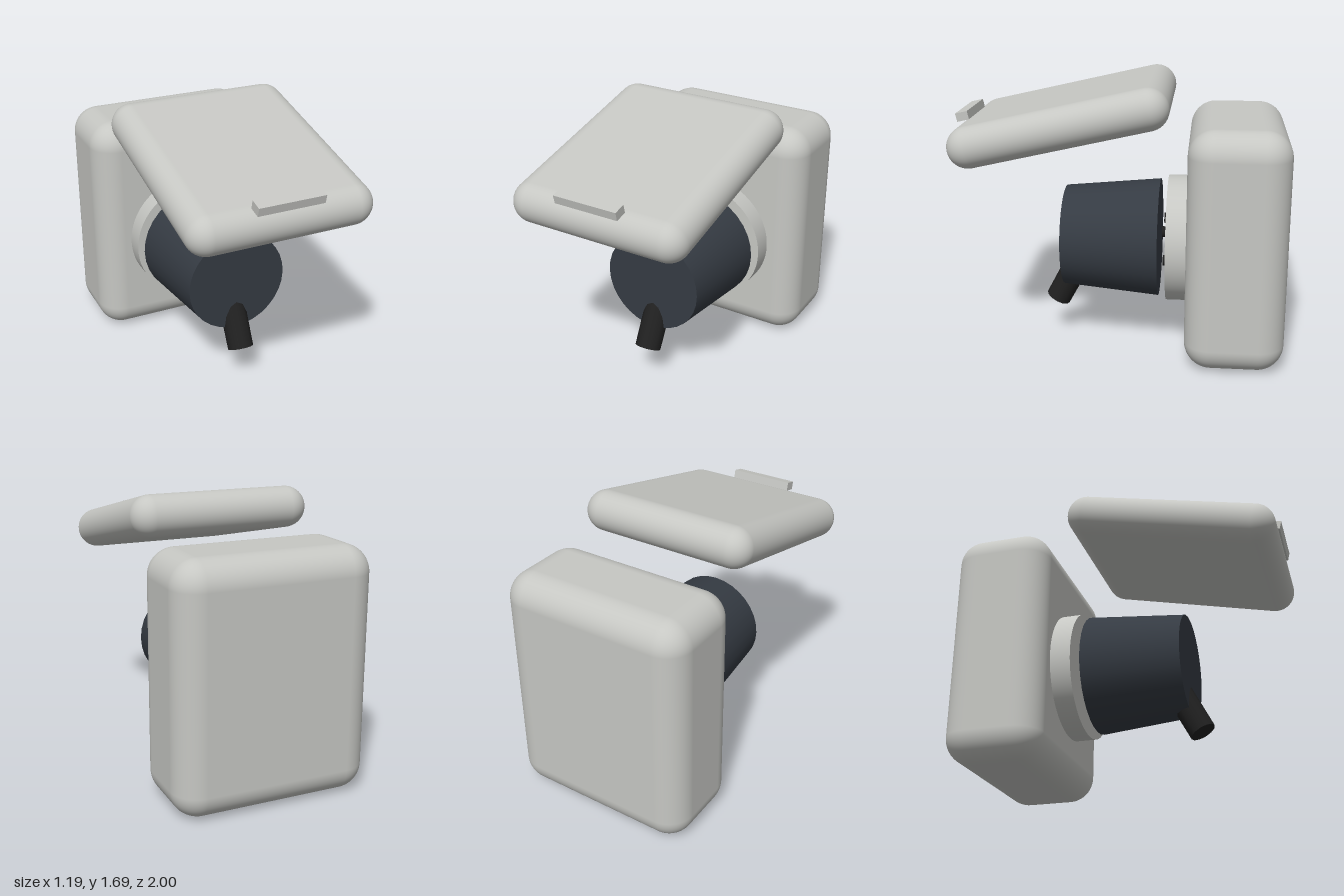
import * as THREE from 'three';
import { RoundedBoxGeometry } from 'three/addons/geometries/RoundedBoxGeometry.js';

export function createModel() {
  const model = new THREE.Group();
  model.name = 'wallSocketWithPlug';

  const mat = (name, color) => {
    const m = new THREE.MeshStandardMaterial({ color });
    m.name = name;
    return m;
  };
  const housingGrey = mat('housing grey', 0xc6c7c3);
  const plugSlate = mat('plug slate', 0x353b43);
  const rubberBlack = mat('rubber black', 0x202020);

  const add = (name, geometry, material, x, y, z, tilt = 0) => {
    const mesh = new THREE.Mesh(geometry, material);
    mesh.name = name;
    mesh.position.set(x, y, z);
    mesh.rotation.x = tilt;
    model.add(mesh);
    return mesh;
  };

  const AXIS_Y = 0.665;          // centre height of socket and plug
  const FORWARD = Math.PI / 2;   // turns a cylinder's top towards +z
  const LID_TILT = 0.227;

  // Wall box
  add('housing', new RoundedBoxGeometry(1.19, 1.46, 0.595, 8, 0.16), housingGrey, 0, 0.73, -0.7025);

  // Raised lid and its finger latch
  add('lid', new RoundedBoxGeometry(1.12, 0.25, 1.317, 8, 0.1249), housingGrey, 0, 1.445, 0.345, LID_TILT);
  add('lidLatch', new THREE.BoxGeometry(0.4, 0.052, 0.075), housingGrey, 0, 1.455, 0.957, LID_TILT);

  // Round socket face
  add('socketRing', new THREE.CylinderGeometry(0.395, 0.395, 0.145, 64), housingGrey, 0, AXIS_Y, -0.3525, FORWARD);

  // Three contacts in a triangle, one at the bottom
  for (let i = 0; i < 3; i++) {
    const a = -Math.PI / 2 + (i * Math.PI * 2) / 3;
    add('contact' + (i + 1), new THREE.CylinderGeometry(0.033, 0.033, 0.06, 16), rubberBlack,
      0.16 * Math.cos(a), AXIS_Y + 0.16 * Math.sin(a), -0.28, FORWARD);
  }

  // Tapered plug body
  add('plug', new THREE.CylinderGeometry(0.315, 0.37, 0.595, 32), plugSlate, 0, AXIS_Y, 0.0675, FORWARD);

  // Cable stub leaving the plug downwards and forwards
  const slope = 0.49, length = 0.4;
  add('cable', new THREE.CylinderGeometry(0.083, 0.08, length, 12), rubberBlack,
    0, 0.228 + (length / 2) * Math.cos(slope), 0.428 - (length / 2) * Math.sin(slope), -slope);

  return model;
}
